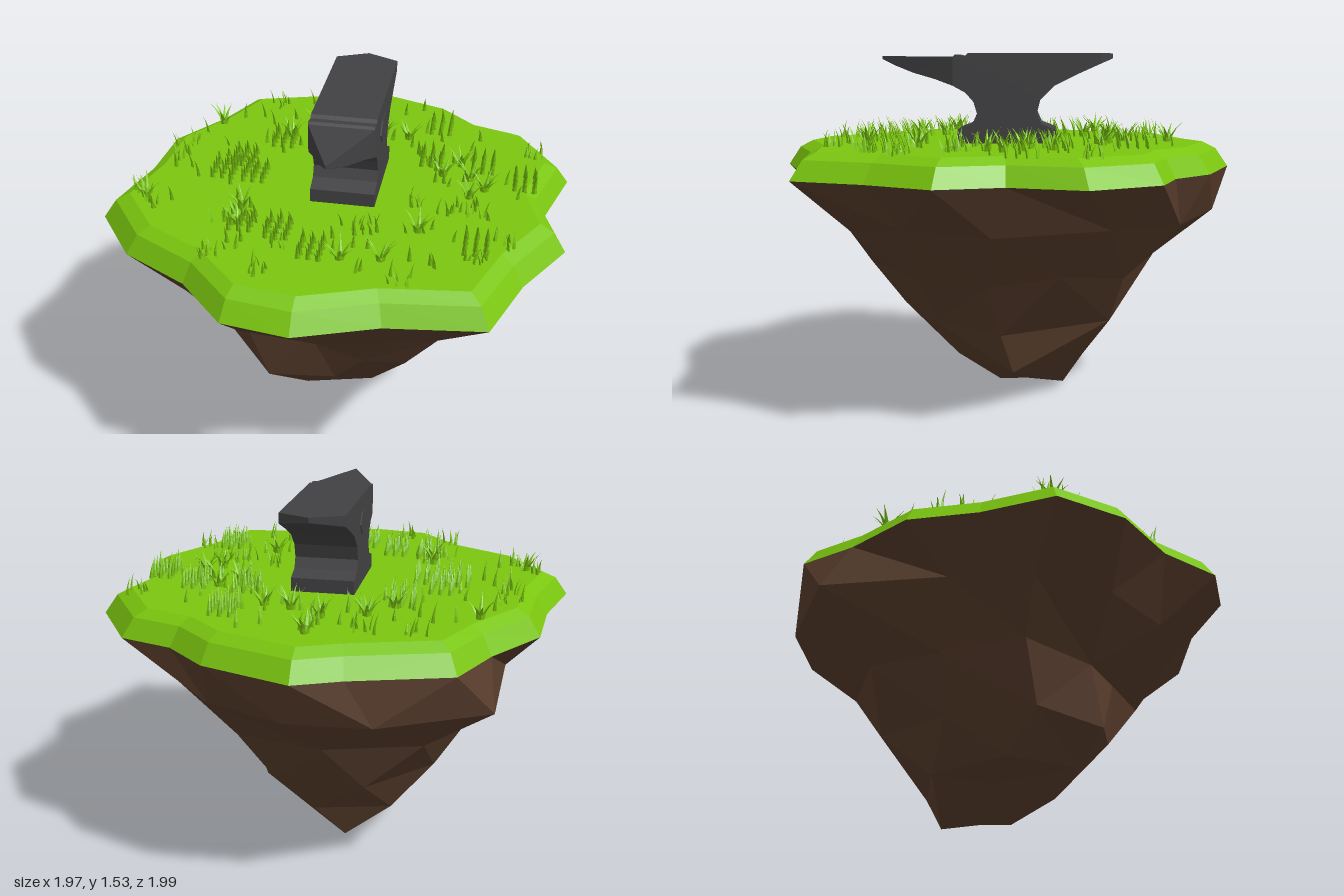
import * as THREE from 'three';
import { mergeGeometries, toCreasedNormals } from 'three/addons/utils/BufferGeometryUtils.js';

const mat = (name, color) => Object.assign(new THREE.MeshStandardMaterial({ color, flatShading: true }), { name });

// Sorts a ring by angle around its own centre.
function sortedRing(ring) {
  const cx = ring.reduce((s, p) => s + p[0], 0) / ring.length;
  const cz = ring.reduce((s, p) => s + p[2], 0) / ring.length;
  return ring.map((p) => ({ p, a: Math.atan2(p[2] - cz, p[0] - cx) })).sort((m, n) => m.a - n.a);
}

// Stitches rings of differing point counts from top to bottom, with optional end caps.
function loft(rings, topCentre, bottomCentre) {
  const pos = [];
  const tri = (...pts) => pts.forEach((p) => pos.push(...p));
  const sorted = rings.map(sortedRing);
  const at = (r, i) => r[i % r.length].p;
  const angle = (r, i) => r[i % r.length].a + (i >= r.length ? Math.PI * 2 : 0);
  for (let k = 0; k < sorted.length - 1; k++) {
    const u = sorted[k], l = sorted[k + 1];
    let i = 0, j = 0;
    while (i < u.length || j < l.length) {
      const advanceUpper = j >= l.length || (i < u.length && angle(u, i + 1) <= angle(l, j + 1));
      if (advanceUpper) { tri(at(u, i), at(u, i + 1), at(l, j)); i++; }
      else { tri(at(u, i), at(l, j + 1), at(l, j)); j++; }
    }
  }
  const first = sorted[0], last = sorted[sorted.length - 1];
  if (topCentre) first.forEach((_, i) => tri(topCentre, at(first, i + 1), at(first, i)));
  if (bottomCentre) last.forEach((_, i) => tri(bottomCentre, at(last, i), at(last, i + 1)));
  const geo = new THREE.BufferGeometry();
  geo.setAttribute('position', new THREE.Float32BufferAttribute(pos, 3));
  geo.computeVertexNormals();
  return geo;
}

// Extrudes a (z, y) profile across x; taper(z) scales the width.
function slab(profile, width, taper = () => 1) {
  const shape = new THREE.Shape(profile.map(([z, y]) => new THREE.Vector2(-z, y)));
  const geo = new THREE.ExtrudeGeometry(shape, { depth: width, bevelEnabled: false });
  geo.translate(0, 0, -width / 2).rotateY(Math.PI / 2);
  const p = geo.attributes.position;
  for (let i = 0; i < p.count; i++) p.setX(i, p.getX(i) * taper(p.getZ(i)));
  return toCreasedNormals(geo, 0.5);
}

// Island outline as (x, z)
const OUTLINE = [
  [0, -1], [0.38, -0.87], [0.56, -0.71], [0.79, -0.64], [0.98, -0.35], [0.89, -0.04], [0.98, 0.23],
  [0.82, 0.51], [0.71, 0.82], [0.31, 0.87], [-0.02, 0.99], [-0.3, 0.95], [-0.51, 0.73], [-0.8, 0.57],
  [-0.99, 0.31], [-0.91, 0], [-0.89, -0.3], [-0.71, -0.56], [-0.6, -0.8], [-0.19, -0.92],
];
const outlineAt = (y, s) => OUTLINE.map(([x, z]) => [x * s, y, z * s]);

// Rock cross-sections from top to bottom
const ROCK_A = [
  [0.8, 0.82, 0.02], [0.73, 0.84, 0.38], [0.5, 0.8, 0.62], [0.04, 0.86, 0.8], [-0.3, 0.8, 0.7],
  [-0.58, 0.82, 0.5], [-0.77, 0.82, 0.2], [-0.75, 0.84, -0.15], [-0.74, 0.84, -0.68],
  [-0.3, 0.84, -0.91], [0.05, 0.84, -0.93], [0.4, 0.82, -0.75], [0.7, 0.84, -0.45],
];
const ROCK_B = [
  [0.57, 0.58, 0.05], [0.5, 0.6, 0.35], [0.2, 0.62, 0.58], [-0.05, 0.64, 0.48], [-0.36, 0.6, 0.4],
  [-0.61, 0.62, 0.15], [-0.6, 0.58, -0.2], [-0.45, 0.6, -0.52], [-0.05, 0.62, -0.68],
  [0.35, 0.58, -0.52], [0.55, 0.62, -0.25],
];
const ROCK_C = [
  [0.42, 0.34, 0], [0.34, 0.38, 0.28], [0.05, 0.4, 0.45], [-0.25, 0.36, 0.44], [-0.48, 0.38, 0.18],
  [-0.46, 0.36, -0.2], [-0.2, 0.38, -0.52], [0.2, 0.36, -0.47],
];
const ROCK_D = [
  [0.35, 0.16, -0.05], [0.18, 0.2, 0.2], [-0.1, 0.24, 0.32], [-0.37, 0.21, 0.05],
  [-0.28, 0.17, -0.28], [0.05, 0.17, -0.36],
];
const ROCK_E = [[0.15, 0.13, -0.1], [0, 0.03, 0.02], [-0.2, 0.15, -0.02], [-0.07, 0, -0.27]];

// Grass clump centres as (x, z)
const STARS = [
  [0, -0.73], [-0.02, -0.54], [0.12, -0.46], [0.24, -0.43], [-0.2, -0.48], [-0.3, -0.36], [-0.65, -0.43],
  [0.43, -0.12], [0.55, -0.1], [0.62, -0.02], [0.56, 0.05], [0.5, -0.22], [0.38, 0.35], [-0.36, 0.42],
  [-0.37, 0.3], [-0.8, 0.28], [0.26, 0.58], [0.1, 0.6],
];
const ROWS = [
  [0.38, -0.55], [-0.32, -0.3], [-0.46, -0.1], [-0.52, 0.02], [-0.38, 0.03], [0.37, -0.24], [0.6, -0.22],
  [0.79, -0.1], [0.62, 0.43], [-0.18, 0.45], [-0.02, 0.57], [-0.34, 0.42],
];
const TUFTS = [
  [-0.43, -0.66], [-0.2, -0.65], [0.02, -0.55], [-0.76, -0.2], [-0.75, -0.08], [0.82, -0.36], [0.35, 0.13],
  [0.48, 0.18], [-0.82, 0.25], [-0.75, 0.36], [-0.43, 0.4], [0.63, 0.52], [0.73, 0.38], [-0.4, 0.66],
  [0.17, 0.37], [0.35, 0.72], [0.38, -0.18], [-0.18, 0.74], [0.58, 0.17], [-0.15, 0.55],
];

function grassBlades() {
  let seed = 7;
  const rnd = () => (seed = (seed * 16807) % 2147483647) / 2147483647;
  const parts = [];
  // One flattened blade curling towards its heading
  const blade = (x, z, heading, h, lean, w = 0.012) => {
    const g = new THREE.ConeGeometry(w, h, 4, 3, true);
    g.translate(0, h / 2, 0).scale(1, 1, 0.45);
    const p = g.attributes.position;
    for (let i = 0; i < p.count; i++) {
      const t = p.getY(i) / h;
      p.setZ(i, p.getZ(i) + lean * t * t);
    }
    parts.push(g.rotateY(heading).translate(x, 1.135, z));
  };
  for (const [x, z] of STARS) {
    for (let i = 0; i < 7; i++) {
      const a = (i / 7) * Math.PI * 2 + rnd();
      blade(x + Math.sin(a) * 0.012, z + Math.cos(a) * 0.012, a, 0.07 + rnd() * 0.03, 0.055, 0.014);
    }
  }
  for (const [x, z] of ROWS) {
    for (let i = 0; i < 12; i++) {
      blade(x + ((i % 3) - 1) * 0.042, z + (Math.floor(i / 3) - 1.5) * 0.04, (rnd() - 0.5) * 0.5,
        0.08 + rnd() * 0.02, 0.03);
    }
  }
  for (const [x, z] of TUFTS) {
    for (let i = 0; i < 7; i++) {
      blade(x + (rnd() - 0.5) * 0.09, z + (rnd() - 0.5) * 0.09, rnd() * 6.28, 0.05 + rnd() * 0.04, 0.02, 0.009);
    }
  }
  for (let i = 0; i < 90; i++) {
    const a = rnd() * Math.PI * 2, r = 0.36 + rnd() * 0.42;
    blade(Math.cos(a) * r, Math.sin(a) * r, (rnd() - 0.5) * 1.5, 0.06 + rnd() * 0.04, 0.025, 0.011);
  }
  return mergeGeometries(parts);
}

export function createModel() {
  const model = new THREE.Group();
  model.name = 'anvilIsland';
  const grass = mat('grass green', 0x7ac50f);
  const earth = mat('earth brown', 0x573c2b);
  const iron = mat('dark iron', 0x414143);
  const add = (name, geo, material, parent = model) => {
    const mesh = new THREE.Mesh(geo, material);
    mesh.name = name;
    parent.add(mesh);
    return mesh;
  };

  // Floating island
  add('rock', loft([outlineAt(1.03, 1), ROCK_A, ROCK_B, ROCK_C, ROCK_D, ROCK_E], null, [-0.05, 0.02, -0.1]), earth);
  add('turf', loft([outlineAt(1.14, 0.885), outlineAt(1.11, 0.945), outlineAt(1.03, 1)],
    [0, 1.14, 0], [0, 1.03, 0]), grass);
  add('grassBlades', grassBlades(), grass);

  // Anvil
  const anvil = new THREE.Group();
  anvil.name = 'anvil';
  anvil.position.x = 0.037;
  model.add(anvil);
  const W = 0.275;
  add('anvilBody', slab([
    [-0.42, 1.53], [0.155, 1.53], [0.168, 1.517], [0.21, 1.525], [0.22, 1.515], [0.22, 1.39],
    [0.165, 1.36], [0.13, 1.32], [0.115, 1.27], [0.135, 1.225], [0.2, 1.2], [0.2, 1.13],
    [-0.23, 1.13], [-0.23, 1.2], [-0.165, 1.225], [-0.145, 1.27], [-0.16, 1.33], [-0.22, 1.39],
    [-0.32, 1.44], [-0.42, 1.485],
  ], W), iron, anvil);
  add('anvilHorn', slab([
    [0.22, 1.515], [0.545, 1.518], [0.545, 1.505], [0.48, 1.475], [0.4, 1.445], [0.3, 1.418], [0.22, 1.39],
  ], W, (z) => Math.max(0.02, (0.545 - z) / 0.325)), iron, anvil);
  add('anvilHeel', slab([[-0.42, 1.53], [-0.48, 1.53], [-0.48, 1.508], [-0.42, 1.485]], W,
    (z) => Math.max(0.02, (z + 0.48) / 0.06)), iron, anvil);

  // Hexagonal plates on both sides
  for (const side of [-1, 1]) {
    const plate = new THREE.CylinderGeometry(0.075, 0.075, 0.009, 6);
    plate.rotateZ(Math.PI / 2).scale(1, 0.75, 1.1);
    add(side > 0 ? 'leftPlate' : 'rightPlate', plate, iron, anvil).position.set(side * W / 2, 1.41, -0.015);
  }
  return model;
}
